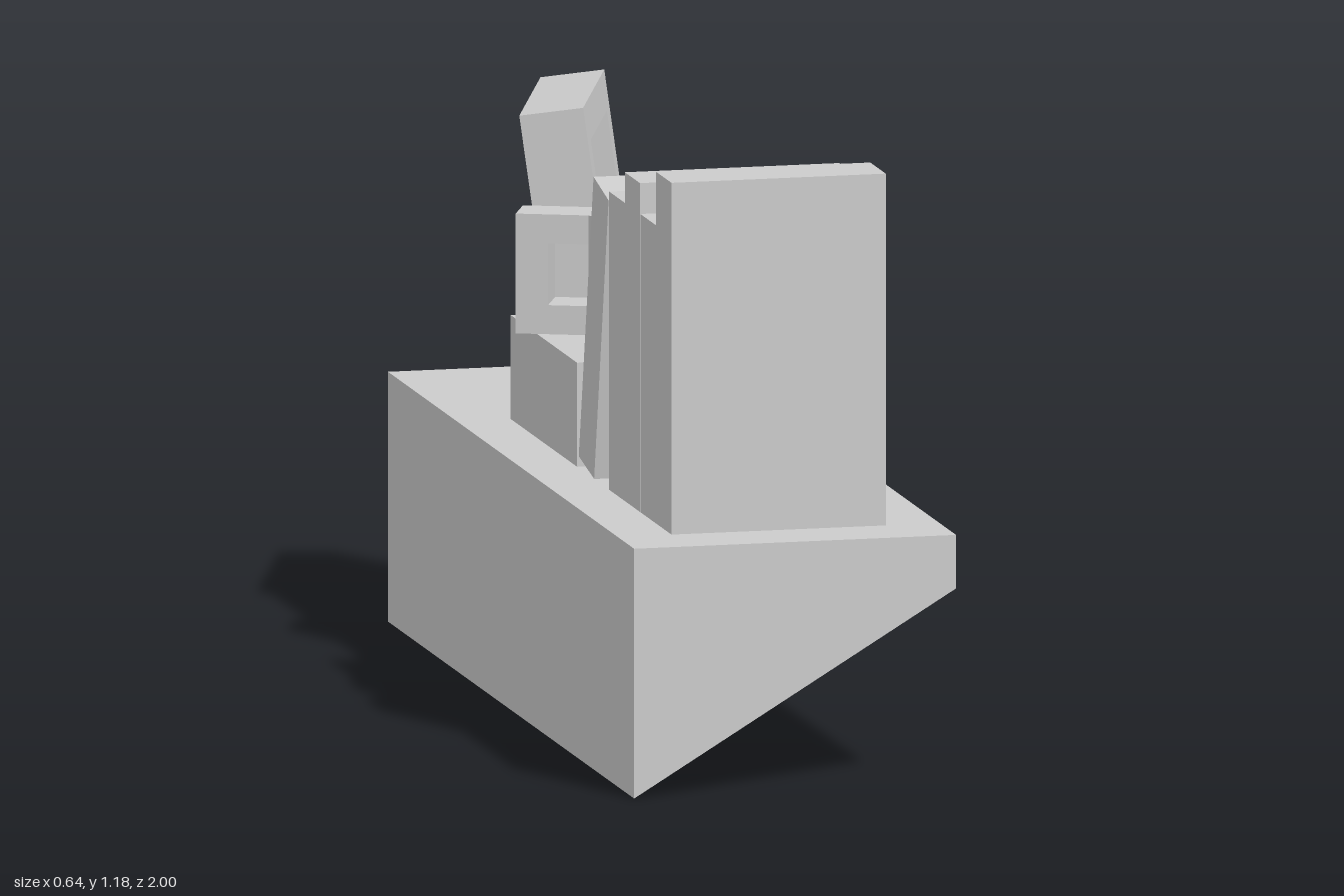
import * as THREE from 'three';

const material = new THREE.MeshStandardMaterial({ color: 0xcccccc, flatShading: true });

function mesh(name, geometry) {
  const m = new THREE.Mesh(geometry, material);
  m.name = name;
  return m;
}

const toShape = (points) => new THREE.Shape(points.map(([x, y]) => new THREE.Vector2(x, y)));

// Extrusion centred on its own depth
function extrude(shape, depth) {
  return new THREE.ExtrudeGeometry(shape, { depth, bevelEnabled: false }).translate(0, 0, -depth / 2);
}

// Profile drawn in (z, y), extruded along x
const extrudeAcross = (points, width) => extrude(toShape(points), width).rotateY(-Math.PI / 2);

const SHELF = 0.49;
const BOOK_WIDTH = 0.426;

function createMug() {
  const mug = new THREE.Group();
  mug.name = 'mug';
  const height = 0.235;

  // Eight-sided hollow cup
  const profile = [[0, 0], [0.12, 0], [0.12, height], [0.08, height], [0.08, 0.04], [0, 0.04]];
  mug.add(mesh('cup', new THREE.LatheGeometry(profile.map(([x, y]) => new THREE.Vector2(x, y)), 8)));

  // Square handle springing from one face of the cup
  const handle = mesh('handle', extrude(toShape([
    [0.11, 0], [0.253, 0], [0.253, height], [0.11, height],
    [0.11, 0.178], [0.19, 0.178], [0.19, 0.057], [0.11, 0.057],
  ]), 0.092));
  handle.rotation.y = Math.PI * 7 / 8;
  mug.add(handle);
  return mug;
}

function createPictureFrame() {
  const frame = new THREE.Group();
  frame.name = 'pictureFrame';
  const w = 0.424, h = 0.58, depth = 0.125, recess = 0.045;
  const rect = (Type, a, b) => new Type([[-a, -b], [a, -b], [a, b], [-a, b]].map(([x, y]) => new THREE.Vector2(x, y)));

  // Raised border around the recess
  const border = rect(THREE.Shape, w / 2, h / 2);
  border.holes.push(rect(THREE.Path, 0.16, 0.218));
  const rim = mesh('frameBorder', extrude(border, recess));
  rim.position.z = (depth - recess) / 2;
  frame.add(rim);

  // Solid back with the picture surface
  const back = mesh('frameBack', new THREE.BoxGeometry(w, h, depth - recess));
  back.position.z = -recess / 2;
  frame.add(back);

  // Turned to the side and leaning back
  frame.rotation.set(THREE.MathUtils.degToRad(-8), THREE.MathUtils.degToRad(70.7), 0, 'YXZ');
  frame.position.set(-0.003, SHELF + 0.296, -0.714);
  return frame;
}

export function createModel() {
  const model = new THREE.Group();
  model.name = 'shelfWithBooks';

  // Wedge-shaped wall shelf
  model.add(mesh('shelf', extrude(toShape([[-0.32, 0], [0.32, 0.385], [0.32, SHELF], [-0.32, SHELF]]), 2)));

  // Upright books, each pair stepped in height
  model.add(mesh('tallBooks', extrudeAcross([
    [0.613, SHELF], [0.866, SHELF], [0.866, 1.18], [0.74, 1.18], [0.74, 1.075], [0.613, 1.075],
  ], BOOK_WIDTH)));
  model.add(mesh('middleBooks', extrudeAcross([
    [0.36, SHELF], [0.61, SHELF], [0.61, 1.135], [0.487, 1.135], [0.487, 1.075], [0.36, 1.075],
  ], BOOK_WIDTH)));

  // Book leaning against the row
  model.add(mesh('leaningBook', extrudeAcross([
    [0.238, SHELF], [0.355, 1.057], [0.233, 1.082], [0.113, 0.513],
  ], BOOK_WIDTH)));

  // Flat stack of three books
  const thickness = 0.068;
  for (let i = 0; i < 3; i++) {
    const book = mesh('flatBook' + (i + 1), new THREE.BoxGeometry(BOOK_WIDTH, thickness, 0.54));
    book.position.set(0, SHELF + thickness * (i + 0.5), -0.17);
    model.add(book);
  }

  const mug = createMug();
  mug.position.set(0, SHELF + 3 * thickness, -0.188);
  model.add(mug, createPictureFrame());
  return model;
}
